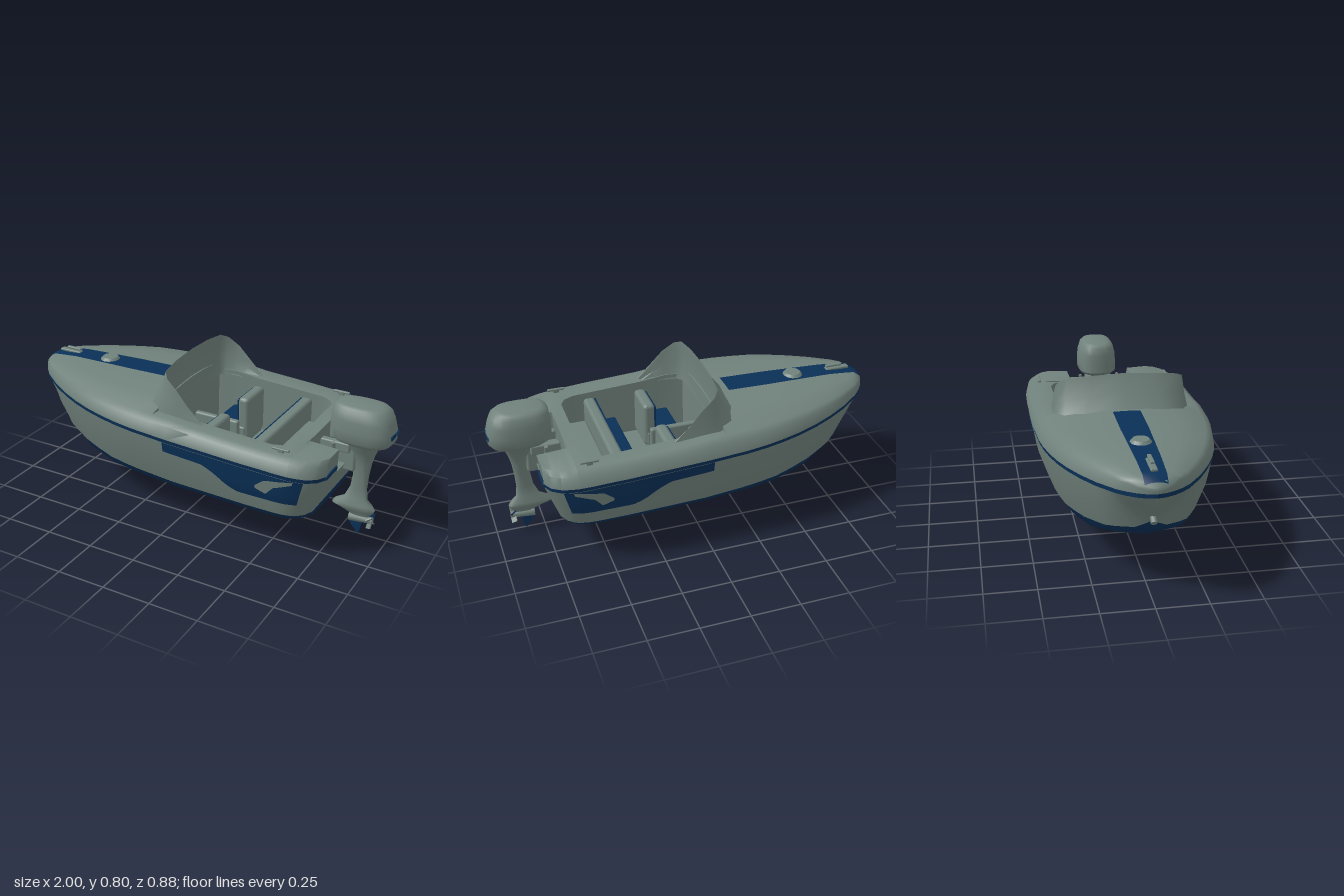
import * as THREE from 'three';
import { toCreasedNormals } from 'three/addons/utils/BufferGeometryUtils.js';
import { RoundedBoxGeometry } from 'three/addons/geometries/RoundedBoxGeometry.js';

const grey = new THREE.MeshStandardMaterial({ color: 0x70817b });
grey.name = 'greyPaint';
const blue = new THREE.MeshStandardMaterial({ color: 0x0a3057 });
blue.name = 'bluePaint';

// Linear lookup in a flat list of x, value pairs
const curve = (...t) => (x) => {
  if (x <= t[0]) return t[1];
  for (let i = 2; i < t.length; i += 2) {
    if (x <= t[i]) return t[i - 1] + (t[i + 1] - t[i - 1]) * (x - t[i - 2]) / (t[i] - t[i - 2]);
  }
  return t[t.length - 1];
};

// Hull lines along the length: bow at -x, stern at +x
const beam = curve(-1, 0, -0.99, 0.045, -0.97, 0.085, -0.94, 0.125, -0.9, 0.165, -0.8, 0.235, -0.7, 0.292, -0.6, 0.338,
  -0.5, 0.374, -0.4, 0.4, -0.3, 0.42, -0.2, 0.432, 0, 0.442, 0.4, 0.442, 0.6, 0.434, 0.66, 0.426, 0.72, 0.405, 0.765, 0.37, 0.79, 0.32);
const keel = curve(-1, 0.53, -0.93, 0.42, -0.86, 0.335, -0.75, 0.245, -0.6, 0.175, -0.4, 0.14, -0.2, 0.122, 0, 0.112, 0.55, 0.11, 0.68, 0.125, 0.79, 0.165);
const chineY = curve(-1, 0.53, -0.93, 0.42, -0.86, 0.336, -0.75, 0.275, -0.6, 0.23, -0.4, 0.21, 0, 0.198, 0.6, 0.195, 0.79, 0.205);
const chineRatio = curve(-0.9, 0, -0.85, 0.35, -0.8, 0.52, -0.75, 0.61, -0.6, 0.69, -0.4, 0.74, 0, 0.76, 0.79, 0.8);
const paintY = curve(-1, 0.53, -0.93, 0.42, -0.86, 0.34, -0.75, 0.307, -0.6, 0.28, -0.4, 0.257, 0, 0.242, 0.79, 0.238);
const paintRatio = curve(-0.9, 0, -0.85, 0.46, -0.8, 0.64, -0.75, 0.72, -0.6, 0.78, -0.4, 0.82, 0, 0.845, 0.79, 0.9);
const railY = curve(-1, 0.548, -0.8, 0.533, -0.4, 0.514, 0, 0.498, 0.5, 0.474, 0.79, 0.455);
const shoulderY = curve(-1, 0.575, -0.95, 0.605, -0.5, 0.61, 0, 0.595, 0.13, 0.58, 0.5, 0.56, 0.79, 0.545);
const crownY = curve(-1, 0.58, -0.96, 0.62, -0.8, 0.635, -0.5, 0.642, -0.1, 0.65, 0.55, 0.55, 0.79, 0.545);
const openHalf = curve(-0.1, 0.285, 0, 0.3, 0.5, 0.3, 0.55, 0.28, 0.575, 0.24);
const deckY = (x, z) => crownY(x) - (crownY(x) - shoulderY(x)) * (z / Math.max(0.01, 0.9 * beam(x))) ** 2;
// The transom rakes forward towards the keel
const rake = (x, y) => x - Math.max(0, 0.45 - y) * 0.35 * THREE.MathUtils.clamp((x - 0.5) / 0.28, 0, 1);
const hullPoint = (x, y, z) => new THREE.Vector3(rake(x, y), y, z);

// Half section, as [z, y] from keel to centreline of deck, cockpit or motor well
function section(x, kind) {
  const b = beam(x), c = b * chineRatio(x), p = b * paintRatio(x), r = railY(x), s = shoulderY(x);
  const inner = {
    deck: () => [[b * 0.55, deckY(x, b * 0.55)], [b * 0.25, deckY(x, b * 0.25)], [0, crownY(x)]],
    cockpit: () => [[openHalf(x), s - 0.01], [openHalf(x) - 0.01, 0.28], [0, 0.28]],
    well: () => [[0.178, s - 0.005], [0.15, 0.405], [0, 0.4]],
  }[kind]();
  return [[0, keel(x)], [c * 0.8, keel(x) + (chineY(x) - keel(x)) * 0.68], [c, chineY(x)], [p, paintY(x)],
    [p + (b - p) * 0.65, paintY(x) + (r - paintY(x)) * 0.5], [b * 0.99, r - 0.01], [b, r + 0.01],
    [b * 0.965, r + (s - r) * 0.78], [b * 0.89, s], ...inner];
}
function ring(x, kind) {
  const half = section(x, kind);
  return [...half, ...half.slice(1, -1).reverse().map(([z, y]) => [-z, y])];
}

// Surface through rows of points
function surface(rows, crease = 0.6) {
  const n = rows[0].length, index = [];
  for (let i = 0; i < rows.length - 1; i++) {
    for (let j = 0; j < n - 1; j++) {
      const a = i * n + j, b = a + n;
      index.push(a, b, b + 1, a, b + 1, a + 1);
    }
  }
  const g = new THREE.BufferGeometry().setFromPoints(rows.flat());
  g.setIndex(index);
  return toCreasedNormals(g, crease);
}

export function createModel() {
  const model = new THREE.Group();
  model.name = 'motorboat';
  const add = (name, geometry, material, x = 0, y = 0, z = 0) => {
    const m = new THREE.Mesh(geometry, material);
    m.name = name;
    m.position.set(x, y, z);
    model.add(m);
    return m;
  };
  const block = (name, mat, x0, x1, y0, y1, z0, z1, r = 0.012) => add(name,
    new RoundedBoxGeometry(x1 - x0, y1 - y0, z1 - z0, 2, r), mat, (x0 + x1) / 2, (y0 + y1) / 2, (z0 + z1) / 2);

  // Hull and deck, lofted in colour bands
  const stations = [];
  const run = (kind, xs) => xs.forEach((x) => stations.push([x, kind]));
  run('deck', [-1, -0.99, -0.97, -0.94, -0.9, -0.88, -0.86, -0.83, -0.8, -0.75, -0.7, -0.6, -0.5, -0.4, -0.3, -0.2, -0.101]);
  run('cockpit', [-0.1, 0, 0.13, 0.27, 0.4, 0.5, 0.55, 0.575]);
  run('deck', [0.576, 0.64]);
  run('well', [0.641, 0.68, 0.72, 0.745, 0.765, 0.78, 0.79]);
  const rings = stations.map(([x, kind]) => ring(x, kind));
  const band = (name, mat, from, to) => add(name, surface(rings.map((r, i) => {
    const row = [];
    for (let k = from; k <= to; k++) {
      const [z, y] = r[(k + r.length) % r.length];
      row.push(hullPoint(stations[i][0], y, z));
    }
    return row;
  }), 0.8), mat);
  band('hullBottom', blue, -3, 3);
  band('leftOfBowSide', grey, 3, 5);
  band('rightOfBowSide', grey, 17, 19);
  band('rubRail', blue, 5, 6);
  band('rubRail', blue, 16, 17);
  band('deckAndCockpit', grey, 6, 16);

  // Transom
  const last = rings[rings.length - 1];
  const cap = (name, mat, from, to) => {
    const pts = [];
    for (let k = from; k <= to; k++) {
      const [z, y] = last[(k + last.length) % last.length];
      pts.push(new THREE.Vector2(-z, y));
    }
    const g = new THREE.ShapeGeometry(new THREE.Shape(pts)).rotateY(Math.PI / 2);
    const p = g.attributes.position;
    for (let i = 0; i < p.count; i++) p.setX(i, rake(0.79, p.getY(i)));
    g.computeVertexNormals();
    add(name, g, mat);
  };
  cap('transomBottom', blue, -3, 3);
  cap('transom', grey, 3, 19);

  // Painted side flashes, following the hull side
  const sideZ = (x, y) => {
    const s = section(x, 'deck').slice(3, 7);
    return curve(...s.flatMap(([z, h]) => [h, z]))(y);
  };
  const flash = (name, mat, x0, x1, top, bottom, lift) => [1, -1].forEach((side) => {
    const rows = [];
    for (let i = 0; i <= 24; i++) {
      const x = x0 + (x1 - x0) * i / 24, row = [];
      for (let j = 0; j <= 6; j++) {
        const y = bottom(x) + (top(x) - bottom(x)) * j / 6;
        row.push(hullPoint(x, y, side * (sideZ(x, y) + lift)));
      }
      rows.push(side > 0 ? row : row.reverse());
    }
    add(name, surface(rows), mat);
  });
  flash('sideFlash', blue, -0.02, 0.715, (x) => railY(x) - 0.009,
    curve(-0.02, 0.437, 0.2, 0.422, 0.27, 0.385, 0.33, 0.338, 0.38, 0.318, 0.715, 0.315), 0.004);
  flash('flashInset', grey, 0.48, 0.67, curve(0.48, 0.39, 0.53, 0.43, 0.67, 0.452),
    curve(0.48, 0.375, 0.54, 0.355, 0.58, 0.4, 0.67, 0.435), 0.007);

  // Foredeck stripe, hatch and bow fittings
  const stripe = [];
  for (let i = 0; i <= 20; i++) {
    const x = -0.98 + 0.75 * i / 20, w = Math.min(0.068, 0.052 + (x + 0.98) * 0.03);
    stripe.push([w, w / 2, 0, -w / 2, -w].map((z) => new THREE.Vector3(x, deckY(x, z) + 0.005, z)));
  }
  add('foredeckStripe', surface(stripe), blue);
  add('deckHatch', new THREE.CylinderGeometry(0.04, 0.052, 0.014, 16), grey, -0.61, 0.65, 0);
  block('bowCleatBase', grey, -0.93, -0.8, 0.63, 0.645, -0.016, 0.016, 0.006);
  block('bowCleatBar', grey, -0.89, -0.8, 0.65, 0.662, -0.01, 0.01, 0.005);
  const eye = add('bowEye', new THREE.CylinderGeometry(0.012, 0.016, 0.06, 10), grey, -0.915, 0.41, 0);
  eye.rotation.z = -0.9;

  // Wraparound windscreen: outer foot, lip and inner foot
  const screen = [
    [0.15, 0.57, 0.335, 0.14, 0.577, 0.328, 0.14, 0.56, 0.3],
    [0.07, 0.575, 0.34, 0.06, 0.655, 0.33, 0.06, 0.56, 0.3],
    [0, 0.58, 0.342, 0, 0.72, 0.325, 0, 0.56, 0.298],
    [-0.09, 0.595, 0.34, -0.06, 0.765, 0.312, -0.065, 0.56, 0.288],
    [-0.16, 0.61, 0.3, -0.09, 0.785, 0.275, -0.09, 0.56, 0.265],
    [-0.2, 0.625, 0.2, -0.1, 0.797, 0.15, -0.098, 0.56, 0.15],
    [-0.21, 0.64, 0, -0.1, 0.804, 0, -0.1, 0.56, 0]];
  const screenRow = (s, side) => {
    const [a, lip, c] = [0, 3, 6].map((k) => new THREE.Vector3(s[k], s[k + 1], side * s[k + 2]));
    const mid = a.clone().lerp(lip, 0.5).add(new THREE.Vector3(0.008, -0.012, 0));
    // The inner face is slightly hollow below the lip
    const inside = lip.clone().lerp(c, 0.1);
    const hollow = lip.clone().lerp(c, 0.5).add(new THREE.Vector3(-0.012, 0, side * (Math.abs(c.z) > 0.2 ? 0.008 : 0)));
    return [a, mid, lip, inside, hollow, c];
  };
  add('windscreen', surface([...screen.map((s) => screenRow(s, -1)),
    ...screen.slice(0, -1).reverse().map((s) => screenRow(s, 1))], 0.9), grey);

  // Front seats, bench, console and stern fittings
  for (const side of [1, -1]) {
    const span = (a, b) => (side > 0 ? [a, b] : [-b, -a]);
    block('frontSeatBase', grey, -0.01, 0.16, 0.27, 0.38, ...span(0.085, 0.29));
    block('frontSeatCushion', blue, -0.01, 0.12, 0.37, 0.395, ...span(0.085, 0.29), 0.008);
    block('frontSeatBack', grey, 0.115, 0.175, 0.3, 0.54, ...span(0.09, 0.285), 0.02);
    block('frontSeatBackPad', blue, 0.107, 0.117, 0.385, 0.525, ...span(0.1, 0.275), 0.003);
    block('sternCleat', grey, 0.53, 0.62, 0.565, 0.576, ...span(0.352, 0.368), 0.004);
    block('sternCleatFoot', grey, 0.56, 0.59, 0.54, 0.57, ...span(0.352, 0.368), 0.004);
    block('sternRail', blue, 0.785, 0.794, 0.445, 0.465, ...span(0.195, 0.322), 0.003);
    const arm = add('motorClampArm', new THREE.CylinderGeometry(0.01, 0.01, 0.13, 8), grey, 0.73, 0.47, side * 0.09);
    arm.rotation.x = side * 0.3;
    block('motorClamp', grey, 0.65, 0.8, 0.47, 0.52, ...span(0.04, 0.075), 0.008);
  }
  block('benchBase', grey, 0.28, 0.44, 0.27, 0.37, -0.29, 0.29);
  block('benchCushion', blue, 0.28, 0.39, 0.36, 0.39, -0.288, 0.288, 0.008);
  block('benchBack', grey, 0.39, 0.45, 0.3, 0.535, -0.288, 0.288, 0.018);
  block('benchBackPad', blue, 0.382, 0.392, 0.38, 0.525, -0.285, 0.285, 0.003);
  block('rearLocker', grey, 0.45, 0.575, 0.27, 0.43, -0.24, 0.24);
  block('controlConsole', grey, -0.08, 0.17, 0.27, 0.46, -0.016, 0.016, 0.01);

  // Outboard motor, stacked rounded rings: y, centre x, half length, half width
  const stack = (name, rows, power) => add(name, surface(rows.map(([y, cx, rx, rz]) => {
    const row = [];
    for (let k = 0; k <= 24; k++) {
      const t = (k % 24) / 24 * Math.PI * 2, c = Math.cos(t), s = Math.sin(t);
      const e = (v) => Math.sign(v) * Math.abs(v) ** (2 / power);
      row.push(new THREE.Vector3(cx + rx * e(c), y, rz * e(s)));
    }
    return row;
  }), 0.8), grey);
  stack('motorCowling', [[0.505, 0.85, 0, 0], [0.505, 0.85, 0.07, 0.06], [0.53, 0.845, 0.135, 0.095], [0.55, 0.838, 0.158, 0.108],
    [0.6, 0.838, 0.158, 0.107], [0.65, 0.833, 0.15, 0.103], [0.69, 0.827, 0.14, 0.092], [0.708, 0.822, 0.122, 0.078],
    [0.714, 0.82, 0.1, 0.06], [0.716, 0.82, 0, 0]], 2.8);
  stack('motorLeg', [[0.105, 0.85, 0, 0], [0.11, 0.85, 0.05, 0.016], [0.135, 0.83, 0.09, 0.024], [0.15, 0.815, 0.112, 0.035],
    [0.17, 0.815, 0.1, 0.035], [0.2, 0.825, 0.06, 0.022], [0.26, 0.835, 0.043, 0.02], [0.33, 0.842, 0.04, 0.023],
    [0.4, 0.845, 0.046, 0.032], [0.45, 0.848, 0.056, 0.044], [0.49, 0.85, 0.07, 0.065], [0.53, 0.85, 0.085, 0.085]], 2.3);
  block('motorBracket', grey, 0.7, 0.82, 0.36, 0.5, -0.045, 0.045);
  block('cowlingDecal', blue, 0.99, 0.998, 0.576, 0.598, -0.002, 0.048, 0.002);
  for (const y of [0.579, 0.587, 0.595]) block('cowlingPinstripe', blue, 0.99, 0.998, y - 0.001, y + 0.001, -0.05, 0, 0.0008);

  // Gearcase, propeller and skeg
  const gear = add('gearcase', new THREE.CylinderGeometry(0.016, 0.026, 0.12, 12), grey, 0.86, 0.092, 0);
  gear.rotation.z = -Math.PI / 2;
  for (let i = 0; i < 4; i++) {
    const hub = new THREE.Group();
    hub.name = 'propellerBlade';
    hub.position.set(0.908, 0.09, 0);
    hub.rotation.x = i * Math.PI / 2 + 0.9;
    const blade = new THREE.Mesh(new THREE.BoxGeometry(0.03, 0.03, 0.006), i === 3 ? blue : grey);
    blade.name = 'blade';
    blade.position.y = 0.026;
    blade.rotation.y = 0.6;
    hub.add(blade);
    model.add(hub);
  }
  const fin = new THREE.Shape([[0.8, 0.06], [0.848, 0], [0.858, 0.03], [0.868, 0.08], [0.8, 0.08]].map((p) => new THREE.Vector2(...p)));
  add('skeg', new THREE.ExtrudeGeometry(fin, { depth: 0.009, bevelEnabled: false }), blue, 0, 0, -0.0045);
  return model;
}
